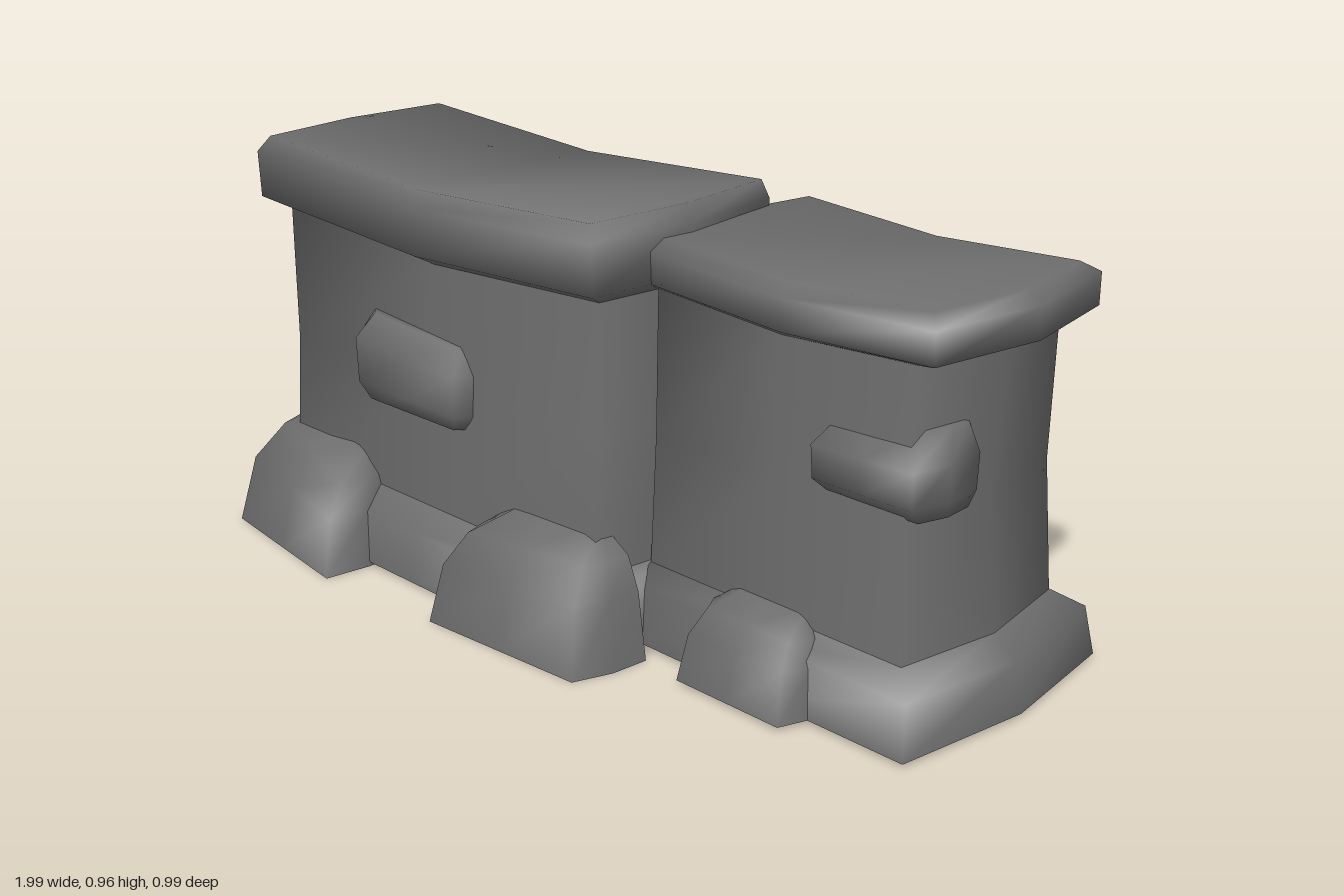
import * as THREE from 'three';
import { toCreasedNormals } from 'three/addons/utils/BufferGeometryUtils.js';

const N = 3; // points along the front and the back of every ring

// Ring through four corners [x, z] (front left, front right, back right, back left),
// with pointed ends (bulge) and a sagging middle (sag)
function ring([fl, fr, br, bl], y, bulge = 0, sag = 0) {
  const pts = [];
  const side = (a, b) => {
    for (let i = 0; i < N; i++) {
      const t = i / (N - 1);
      const drop = sag * (1 - (2 * t - 1) ** 2);
      pts.push([a[0] + (b[0] - a[0]) * t, y - drop, a[1] + (b[1] - a[1]) * t]);
    }
  };
  side(fl, fr);
  pts.push([(fr[0] + br[0]) / 2 + bulge, y, (fr[1] + br[1]) / 2]);
  side(br, bl);
  pts.push([(fl[0] + bl[0]) / 2 - bulge, y, (fl[1] + bl[1]) / 2]);
  return pts;
}

const rect = (x0, x1, z0, z1) => [[x0, z1], [x1, z1], [x1, z0], [x0, z0]];

// Skin over a stack of rings, optionally closed above and below
function loft(rings, top, bottom) {
  const count = 2 * N + 2, index = [];
  for (let r = 0; r < rings.length - 1; r++) {
    for (let i = 0; i < count; i++) {
      const a = r * count + i, b = r * count + (i + 1) % count;
      index.push(a, b, b + count, a, b + count, a + count);
    }
  }
  const close = (o, flip) => {
    const tri = (a, b, c) => index.push(o + a, o + (flip ? c : b), o + (flip ? b : c));
    for (let i = 0; i < N - 1; i++) {
      tri(i, i + 1, 2 * N - i - 1);
      tri(i, 2 * N - i - 1, 2 * N - i);
    }
    tri(N - 1, N, N + 1);
    tri(2 * N, 2 * N + 1, 0);
  };
  if (top) close((rings.length - 1) * count, false);
  if (bottom) close(0, true);
  const g = new THREE.BufferGeometry();
  g.setAttribute('position', new THREE.Float32BufferAttribute(rings.flat(2), 3));
  g.setIndex(index);
  return toCreasedNormals(g, 1.6);
}

export function createModel() {
  const model = new THREE.Group();
  model.name = 'stoneWall';
  const stone = new THREE.MeshStandardMaterial({ color: 0x6e6e6e, side: THREE.DoubleSide });
  stone.name = 'grey stone';

  const add = (parent, name, geometry) => {
    const mesh = new THREE.Mesh(geometry, stone);
    mesh.name = name;
    parent.add(mesh);
  };

  // One hollow wall section; each level is [y, x0, x1, z0, z1, bulge, sag]
  const section = (name, { body, base, cap }) => {
    const group = new THREE.Group();
    group.name = name;
    const rings = levels => levels.map(([y, x0, x1, z0, z1, b, s]) => ring(rect(x0, x1, z0, z1), y, b, s));
    add(group, 'body', loft(rings(body)));
    add(group, 'base', loft(rings(base)));
    add(group, 'cap', loft(rings(cap), true));
    model.add(group);
  };

  section('tallSection', {
    body: [
      [0.175, -0.87, 0.185, -0.20, 0.30, 0.03, 0],
      [0.48, -0.855, 0.185, -0.185, 0.29, 0.025, 0],
      [0.805, -0.87, 0.185, -0.17, 0.28, 0.025, 0.03],
    ],
    base: [
      [0.02, -0.93, 0.23, -0.285, 0.375, 0.03, 0],
      [0.14, -0.915, 0.22, -0.26, 0.36, 0.03, 0],
      [0.185, -0.87, 0.185, -0.20, 0.30, 0.03, 0],
    ],
    cap: [
      [0.795, -0.87, 0.185, -0.17, 0.28, 0.025, 0.03],
      [0.82, -0.925, 0.21, -0.205, 0.325, 0.028, 0.03],
      [0.93, -0.925, 0.21, -0.205, 0.33, 0.028, 0.03],
      [0.97, -0.89, 0.195, -0.195, 0.315, 0.025, 0.03],
    ],
  });

  section('shortSection', {
    body: [
      [0.175, 0.21, 0.895, -0.345, 0.155, 0.04, 0],
      [0.48, 0.215, 0.875, -0.33, 0.145, 0.035, 0],
      [0.81, 0.21, 0.89, -0.315, 0.135, 0.045, 0.02],
    ],
    base: [
      [0.02, 0.19, 0.955, -0.44, 0.215, 0.045, 0],
      [0.14, 0.20, 0.945, -0.41, 0.2, 0.045, 0],
      [0.185, 0.21, 0.895, -0.345, 0.155, 0.04, 0],
    ],
    cap: [
      [0.80, 0.21, 0.89, -0.315, 0.135, 0.045, 0.02],
      [0.82, 0.21, 0.95, -0.36, 0.172, 0.045, 0.02],
      [0.89, 0.21, 0.95, -0.36, 0.175, 0.045, 0.02],
      [0.913, 0.22, 0.92, -0.325, 0.14, 0.04, 0.02],
    ],
  });

  // Stones: a footprint narrowed in x and drawn back toward the wall in z;
  // each level is [y, x scale, z scale], and lean tilts the top along x
  const rock = (name, corners, levels, lean, closed) => {
    const cx = corners.reduce((s, c) => s + c[0], 0) / 4;
    const y0 = levels[0][0];
    const rings = levels.map(([y, sx, sz]) => {
      const outline = corners.map(([x, z], i) => {
        const partner = corners[3 - i][1];
        const wall = Math.abs(z) < Math.abs(partner) ? z : partner;
        return [cx + (x - cx) * sx, wall + (z - wall) * sz];
      });
      return ring(outline, y, 0.012).map(([x, py, z]) => [x, py + lean * (x - cx) * (py - y0), z]);
    });
    add(model, name, loft(rings, true, closed));
  };

  // Boulders at the foot of the wall
  const mound = (y0, h) => [
    [y0, 1, 1], [y0 + h * 0.55, 0.91, 0.86], [y0 + h * 0.82, 0.79, 0.6], [y0 + h, 0.5, 0.2],
  ];
  rock('frontLeftBoulder', [[-0.95, 0.43], [-0.52, 0.49], [-0.51, 0.26], [-0.99, 0.14]], mound(0.01, 0.265), -0.5);
  rock('frontMiddleBoulder', [[-0.18, 0.46], [0.25, 0.43], [0.29, 0.25], [-0.2, 0.26]], mound(0.01, 0.265), 0.3);
  rock('frontRightBoulder', [[0.41, 0.28], [0.69, 0.28], [0.72, 0.13], [0.38, 0.13]], mound(0.02, 0.19), 0);
  rock('backMiddleBoulder', [[-0.46, -0.18], [-0.01, -0.18], [-0.04, -0.35], [-0.43, -0.35]], mound(0.02, 0.19), 0);
  rock('backRightBoulder', [[0.13, -0.3], [0.51, -0.32], [0.48, -0.5], [0.19, -0.485]], mound(0.025, 0.205), 0);

  // Single stones standing out of the wall faces
  const block = (y0, y1) => [
    [y0, 0.86, 0.75], [y0 + 0.04, 0.98, 0.98], [y1 - 0.06, 1, 1], [y1, 0.78, 0.6],
  ];
  rock('frontWallStone', [[-0.57, 0.335], [-0.23, 0.33], [-0.21, 0.26], [-0.6, 0.26]], block(0.405, 0.605), -0.35, true);
  rock('rightWallStone', [[0.67, 0.18], [0.92, 0.18], [0.94, 0.0], [0.645, 0.0]], block(0.485, 0.66), 0.3, true);
  rock('backWallStone', [[-0.905, -0.06], [-0.6, -0.06], [-0.62, -0.235], [-0.885, -0.235]], block(0.46, 0.64), -0.2, true);

  return model;
}
